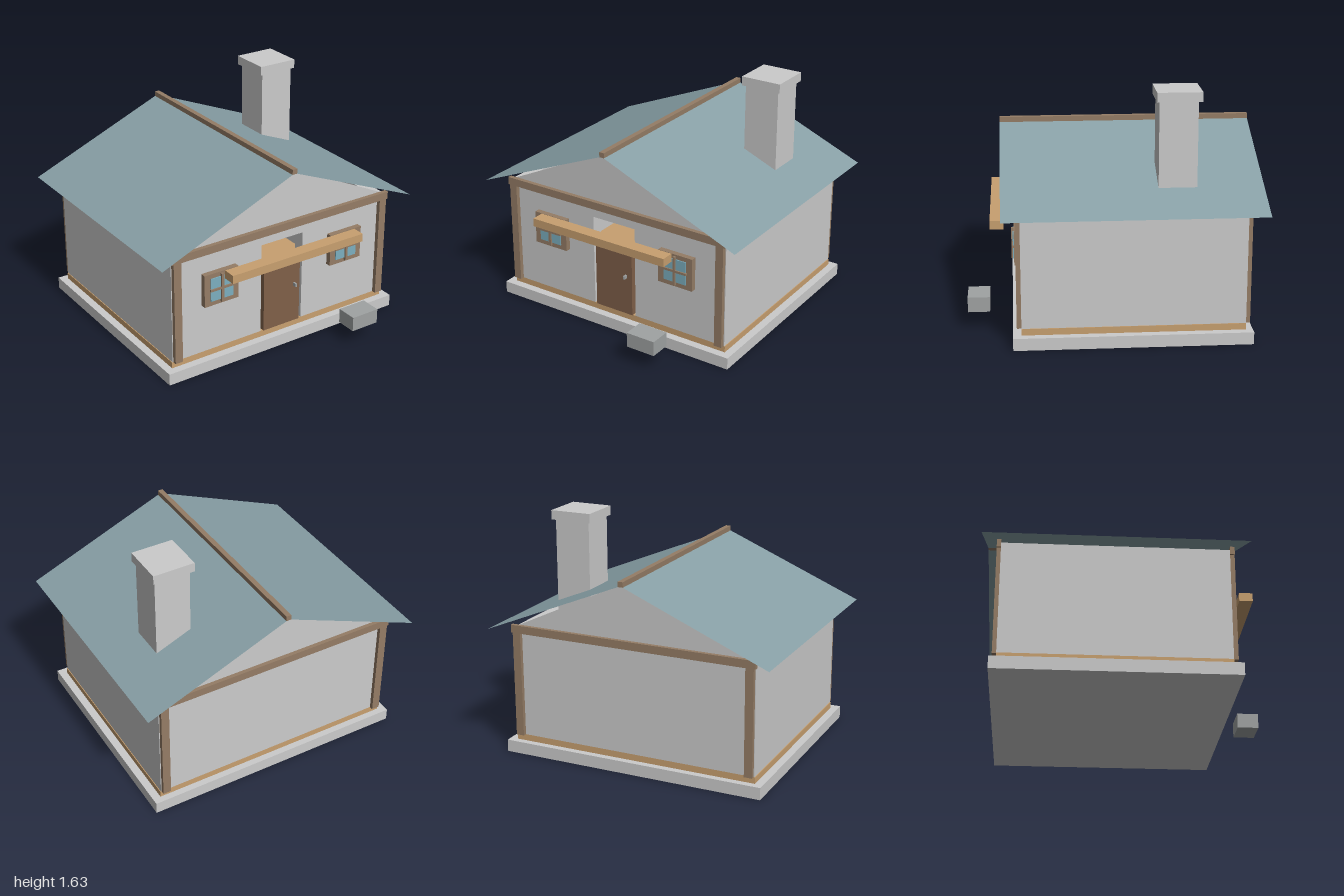
import * as THREE from 'three';

const mat = (color, side = THREE.FrontSide) =>
  new THREE.MeshStandardMaterial({ color, side, flatShading: true });

const GREY = mat(0xcccccc);
const GREY_THIN = mat(0xcccccc, THREE.DoubleSide);
const TIMBER = mat(0x957d66);
const TAN = mat(0xc8a070);
const DOOR = mat(0x806049);
const GLASS = mat(0x7db0c0);
const STONE = mat(0xa0a3a3);
const ROOF = mat(0x88a0a6, THREE.DoubleSide);

// Box given by its extents along each axis
function box(parent, name, material, [x0, x1], [y0, y1], [z0, z1]) {
  const mesh = new THREE.Mesh(new THREE.BoxGeometry(x1 - x0, y1 - y0, z1 - z0), material);
  mesh.position.set((x0 + x1) / 2, (y0 + y1) / 2, (z0 + z1) / 2);
  mesh.name = name;
  parent.add(mesh);
  return mesh;
}

export function createModel() {
  const house = new THREE.Group();
  house.name = 'cottage';

  const W = 0.868, T = 0.08;          // wall half width and thickness
  const FRONT = 0.615, BACK = -0.845; // outer wall planes
  const FLOOR = 0.127, EAVE = 0.886, RIDGE = 1.3;

  // Base
  box(house, 'foundation', GREY, [-0.927, 0.927], [0, 0.083], [-0.89, 0.67]);
  box(house, 'floor', TAN, [-0.873, 0.873], [0.083, FLOOR], [BACK, FRONT]);

  // Hollow walls; the front one has a tall doorway
  const outline = new THREE.Shape([
    new THREE.Vector2(-W, FLOOR), new THREE.Vector2(-0.17, FLOOR),
    new THREE.Vector2(-0.17, 0.78), new THREE.Vector2(0.167, 0.78),
    new THREE.Vector2(0.167, FLOOR), new THREE.Vector2(W, FLOOR),
    new THREE.Vector2(W, EAVE), new THREE.Vector2(-W, EAVE),
  ]);
  const frontWall = new THREE.Mesh(
    new THREE.ExtrudeGeometry(outline, { depth: T, bevelEnabled: false }), GREY);
  frontWall.position.z = FRONT - T;
  frontWall.name = 'frontWall';
  house.add(frontWall);
  box(house, 'backWall', GREY, [-W, W], [FLOOR, EAVE], [BACK, BACK + T]);
  box(house, 'leftWall', GREY, [W - T, W], [FLOOR, EAVE], [BACK + T, FRONT - T]);
  box(house, 'rightWall', GREY, [-W, T - W], [FLOOR, EAVE], [BACK + T, FRONT - T]);

  // Gables, top beams and corner posts at both ends
  const triangle = new THREE.Shape([
    new THREE.Vector2(-W, EAVE), new THREE.Vector2(W, EAVE), new THREE.Vector2(0, RIDGE),
  ]);
  for (const [end, plane, z] of [
    ['front', FRONT, [FRONT, 0.645]],
    ['back', BACK, [-0.872, BACK]],
  ]) {
    const gable = new THREE.Mesh(new THREE.ShapeGeometry(triangle), GREY_THIN);
    gable.position.z = plane;
    gable.name = end + 'Gable';
    house.add(gable);
    box(house, end + 'Beam', TIMBER, [-0.875, 0.875], [0.853, 0.907], z);
    for (const s of [-1, 1]) {
      const post = box(house, end + 'Post', TIMBER, [-0.028, 0.028], [FLOOR, 0.853], z);
      post.position.x = s * 0.835;
    }
  }

  // Thin roof slopes and ridge beam
  const zMid = -0.115, roofLength = 1.7;
  for (const s of [-1, 1]) {
    const rise = RIDGE - EAVE;
    const slope = new THREE.Mesh(
      new THREE.PlaneGeometry(Math.hypot(1, rise), roofLength).rotateX(-Math.PI / 2), ROOF);
    slope.position.set(s * 0.5, (EAVE + RIDGE) / 2, zMid);
    slope.rotation.z = -s * Math.atan(rise);
    slope.name = s > 0 ? 'leftRoofSlope' : 'rightRoofSlope';
    house.add(slope);
  }
  box(house, 'ridgeBeam', TIMBER, [-0.018, 0.018], [1.293, 1.328], [-0.965, 0.735]);

  // Chimney
  box(house, 'chimney', GREY, [0.46, 0.708], [0.94, 1.57], [-0.53, -0.28]);
  box(house, 'chimneyCap', GREY, [0.438, 0.727], [1.57, 1.633], [-0.555, -0.263]);

  // Door and handle
  box(house, 'door', DOOR, [-0.15, 0.145], [FLOOR, 0.63], [0.58, 0.622]);
  box(house, 'doorHandle', STONE, [0.092, 0.104], [0.4, 0.424], [0.622, 0.65]);

  // Windows with crossed bars
  for (const s of [-1, 1]) {
    const win = new THREE.Group();
    win.name = s > 0 ? 'leftWindow' : 'rightWindow';
    win.position.x = s * 0.509;
    box(win, 'windowFrame', TIMBER, [-0.131, 0.131], [0.478, 0.71], [FRONT, 0.653]);
    for (const px of [-0.048, 0.048]) for (const py of [0.552, 0.638])
      box(win, 'pane', GLASS, [px - 0.038, px + 0.038], [py - 0.04, py + 0.04], [0.64, 0.66]);
    box(win, 'verticalBar', TIMBER, [-0.009, 0.009], [0.49, 0.698], [0.65, 0.67]);
    box(win, 'horizontalBar', TIMBER, [-0.092, 0.092], [0.587, 0.603], [0.65, 0.669]);
    house.add(win);
  }

  // Awning beam and stone block before the front
  box(house, 'awningBeam', TAN, [-0.527, 0.525], [0.692, 0.75], [0.72, 0.81]);
  box(house, 'stoneBlock', STONE, [0.345, 0.555], [0.127, 0.23], [0.82, 0.967]);

  return house;
}
